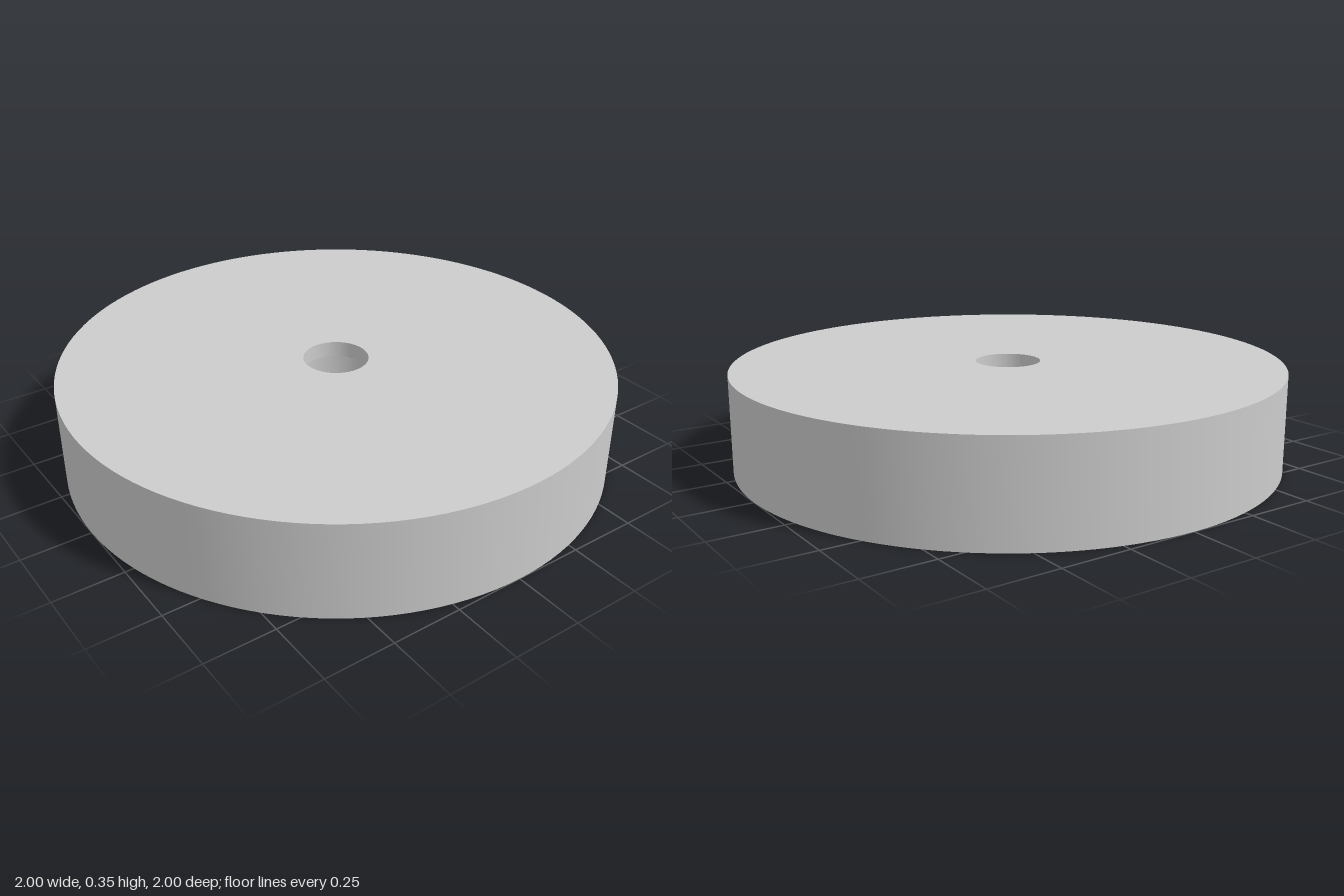
import * as THREE from 'three';
import { toCreasedNormals } from 'three/addons/utils/BufferGeometryUtils.js';

export function createModel() {
  const group = new THREE.Group();
  group.name = 'recessedDisc';

  const height = 0.353;
  const recessDepth = 0.176; // wide recess in the underside
  const ledge = 0.294; // top of the counterbore

  // Closed cross-section, from the outer wall round to the underside rim
  const profile = [
    [1, 0],
    [1, height],
    [0.118, height], // through hole
    [0.118, ledge],
    [0.194, ledge], // counterbore
    [0.194, recessDepth],
    [0.823, recessDepth], // recess
    [0.823, 0],
    [1, 0],
  ].map(([r, y]) => new THREE.Vector2(r, y));

  const geometry = toCreasedNormals(new THREE.LatheGeometry(profile, 128), Math.PI / 6);
  const disc = new THREE.Mesh(geometry, new THREE.MeshStandardMaterial({ color: 0xcccccc }));
  disc.name = 'disc';
  group.add(disc);

  return group;
}
